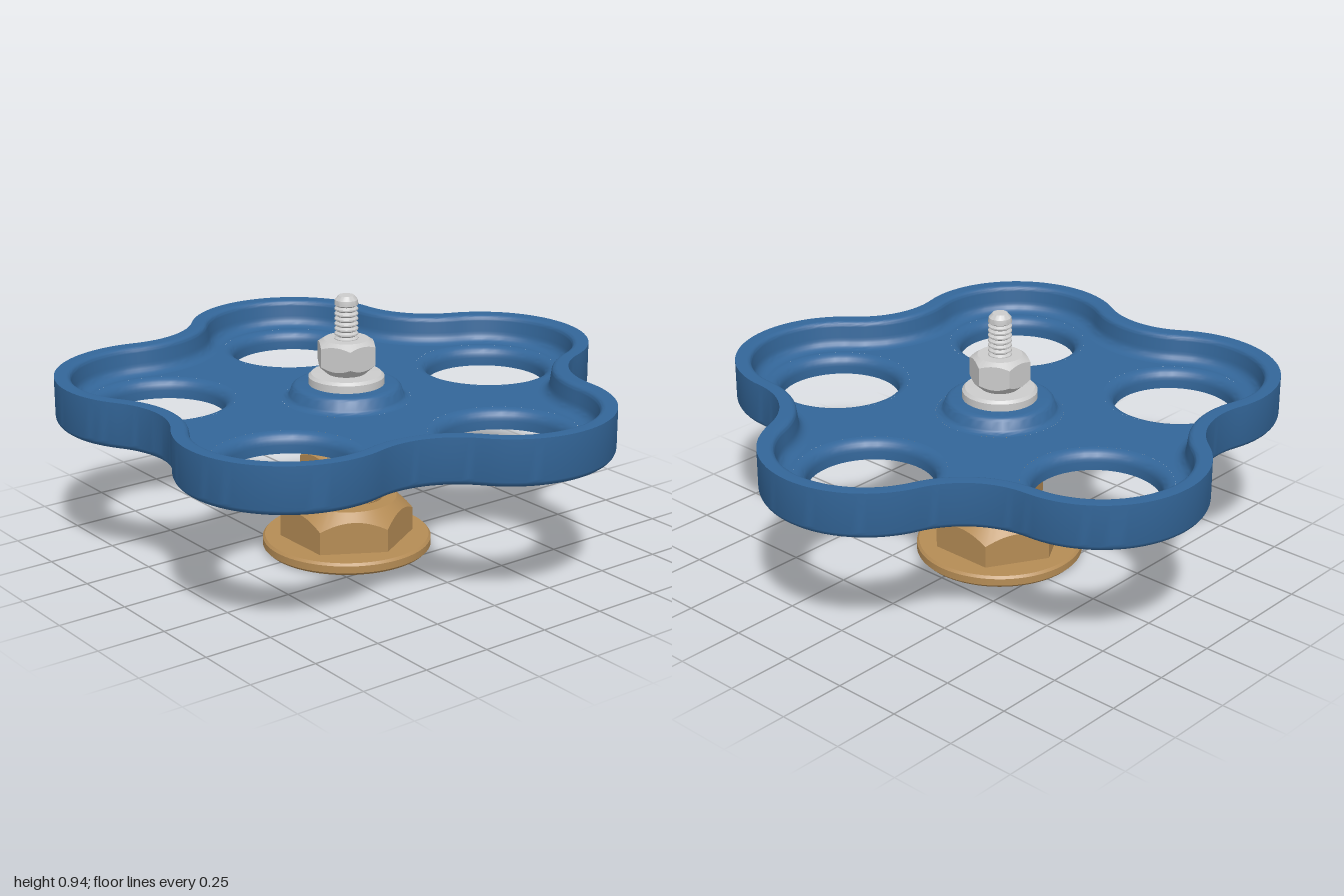
import * as THREE from 'three';
import { toCreasedNormals } from 'three/addons/utils/BufferGeometryUtils.js';

const blue = new THREE.MeshStandardMaterial({ color: 0x336699 });
const brass = new THREE.MeshStandardMaterial({ color: 0xb58c55 });
const grey = new THREE.MeshStandardMaterial({ color: 0xcccccc });
const rad = THREE.MathUtils.degToRad;

// Skin a list of closed rings, each running counter-clockwise seen from above
function loft(rings) {
  const n = rings[0].length, index = [];
  for (let j = 0; j < rings.length - 1; j++) {
    for (let i = 0; i < n; i++) {
      const k = (i + 1) % n;
      const a = j * n + i, b = j * n + k, c = a + n, d = b + n;
      index.push(a, b, d, a, d, c);
    }
  }
  const g = new THREE.BufferGeometry();
  g.setAttribute('position', new THREE.Float32BufferAttribute(rings.flat(2), 3));
  g.setIndex(index);
  return toCreasedNormals(g, rad(30));
}

const circle = (r, y, n) => Array.from({ length: n }, (_, i) => {
  const a = (i / n) * Math.PI * 2;
  return [r * Math.cos(a), y, -r * Math.sin(a)];
});

// Revolve a profile of [radius, height]
const revolve = (profile, n = 64) => loft(profile.map(([r, y]) => circle(r, y, n)));

// Profile points along an arc, angles in degrees
const arc = (cx, cy, r, a0, a1, steps = 6) => Array.from({ length: steps + 1 }, (_, i) => {
  const a = rad(a0 + ((a1 - a0) * i) / steps);
  return [cx + r * Math.cos(a), cy + r * Math.sin(a)];
});

// Hexagon whose ends are cut by 'cone' chamfers: end radius and slope (height per radius)
function hexBody({ flat, y0, y1, top, bottom, turn = 0 }) {
  const n = 96, rings = [[], [], [], [], [], []];
  for (let i = 0; i < n; i++) {
    const a = (i / n) * Math.PI * 2;
    const r = flat / Math.cos((a % (Math.PI / 3)) - Math.PI / 6);
    const c = Math.cos(a + turn), s = -Math.sin(a + turn);
    const low = y0 + Math.max(0, r - bottom.r) * bottom.slope;
    const high = y1 - Math.max(0, r - top.r) * top.slope;
    const rows = [[0, y0], [Math.min(r, bottom.r), y0], [r, low],
      [r, high], [Math.min(r, top.r), y1], [0, y1]];
    rows.forEach(([q, y], j) => rings[j].push([q * c, y, q * s]));
  }
  return loft(rings);
}

// Five-lobed outline: convex lobes joined by tangent concave arcs, offset inwards by inset
const LOBE_DIST = 0.65, LOBE_R = 0.38, VALLEY_DIST = 1.097, VALLEY_R = 0.307, HOLE_R = 0.22;
function outline(inset) {
  const pts = [];
  for (let k = 0; k < 5; k++) {
    const t = 90 + 72 * k;
    const at = (dist, deg) => [dist * Math.cos(rad(deg)), dist * Math.sin(rad(deg))];
    const lobe = arc(...at(LOBE_DIST, t), LOBE_R - inset, t - 69.8, t + 69.8, 32);
    const valley = arc(...at(VALLEY_DIST, t + 36), VALLEY_R + inset, t + 249.8, t + 182.2, 16);
    pts.push(...lobe, ...valley.slice(1, -1));
  }
  return pts;
}

// Flat web face with the five round openings, facing up (s = 1) or down (s = -1)
function webFace(inset, holeR, centreR, y, s) {
  const shape = new THREE.Shape(outline(inset).map(([x, z]) => new THREE.Vector2(x, s * z)));
  const cut = (x, z, r) => shape.holes.push(new THREE.Path().absarc(x, s * z, r, 0, Math.PI * 2, true));
  for (let k = 0; k < 5; k++) {
    const a = rad(90 + 72 * k);
    cut(LOBE_DIST * Math.cos(a), LOBE_DIST * Math.sin(a), holeR);
  }
  if (centreR) cut(0, 0, centreR);
  return new THREE.ShapeGeometry(shape, 64).rotateX(-s * Math.PI / 2).translate(0, y, 0);
}

export function createModel() {
  const model = new THREE.Group();
  model.name = 'valveHandwheel';
  const add = (parent, name, geometry, material) => {
    const mesh = new THREE.Mesh(geometry, material);
    mesh.name = name;
    parent.add(mesh);
    return mesh;
  };

  // Handwheel: rounded rim, recessed web, filleted openings and raised hub
  const wheel = new THREE.Group();
  wheel.name = 'handwheel';
  model.add(wheel);
  const rim = [
    ...arc(0.03, 0.52, 0.03, 270, 180), [0, 0.66],
    ...arc(0.04, 0.64, 0.02, 90, 0), ...arc(0.105, 0.6, 0.04, 180, 270),
  ];
  add(wheel, 'rim', loft(rim.map(([inset, y]) => outline(inset).map(([x, z]) => [x, y, -z]))), blue);
  add(wheel, 'webTop', webFace(0.105, HOLE_R + 0.04, 0.23, 0.56, 1), blue);
  add(wheel, 'webUnderside', webFace(0.03, HOLE_R, 0, 0.49, -1), blue);
  const opening = revolve([...arc(HOLE_R + 0.04, 0.52, 0.04, 90, 180), [HOLE_R, 0.49]]);
  for (let k = 0; k < 5; k++) {
    const a = rad(90 + 72 * k);
    add(wheel, 'openingEdge', opening, blue)
      .position.set(LOBE_DIST * Math.cos(a), 0, -LOBE_DIST * Math.sin(a));
  }
  add(wheel, 'hub', revolve([
    ...arc(0.23, 0.59, 0.03, 270, 210), ...arc(0.17, 0.585, 0.03, 30, 90), [0, 0.615],
  ]), blue);

  // Brass valve body
  add(model, 'baseFlange', revolve([
    [0, 0], [0.295, 0], [0.305, 0.01], [0.305, 0.036], [0.297, 0.045], [0, 0.045],
  ], 96), brass);
  add(model, 'baseHexagon', hexBody({
    flat: 0.209, y0: 0.04, y1: 0.19, top: { r: 0.18, slope: 1 }, bottom: { r: 1, slope: 0 },
  }), brass);
  add(model, 'packingNut', hexBody({
    flat: 0.145, y0: 0.205, y1: 0.378, top: { r: 0.134, slope: 0.9 }, bottom: { r: 0.152, slope: 0.6 },
  }), brass);
  add(model, 'packingDome', revolve([
    [0.12, 0.37], ...arc(0.07, 0.425, 0.05, 0, 90, 10), [0, 0.475],
  ]), brass);

  // Spindle with a threaded upper end
  const thread = [];
  for (let y = 0.77; y < 0.905; y += 0.018) thread.push([0.033, y], [0.042, y + 0.006], [0.042, y + 0.011]);
  add(model, 'spindle', revolve([
    [0, 0.15], [0.038, 0.15], [0.038, 0.77], ...thread, [0.04, 0.92], [0.027, 0.935], [0, 0.935],
  ], 32), grey);

  // Washer and locking nut above the hub
  add(model, 'washer', revolve([
    [0, 0.61], [0.135, 0.61], [0.135, 0.642], [0.125, 0.652], [0, 0.655],
  ]), grey);
  add(model, 'lockingNut', hexBody({
    flat: 0.096, y0: 0.652, y1: 0.778, turn: Math.PI / 6,
    top: { r: 0.08, slope: 0.7 }, bottom: { r: 0.068, slope: 0.9 },
  }), grey);

  model.position.z = 0.06;
  const root = new THREE.Group();
  root.add(model);
  return root;
}
